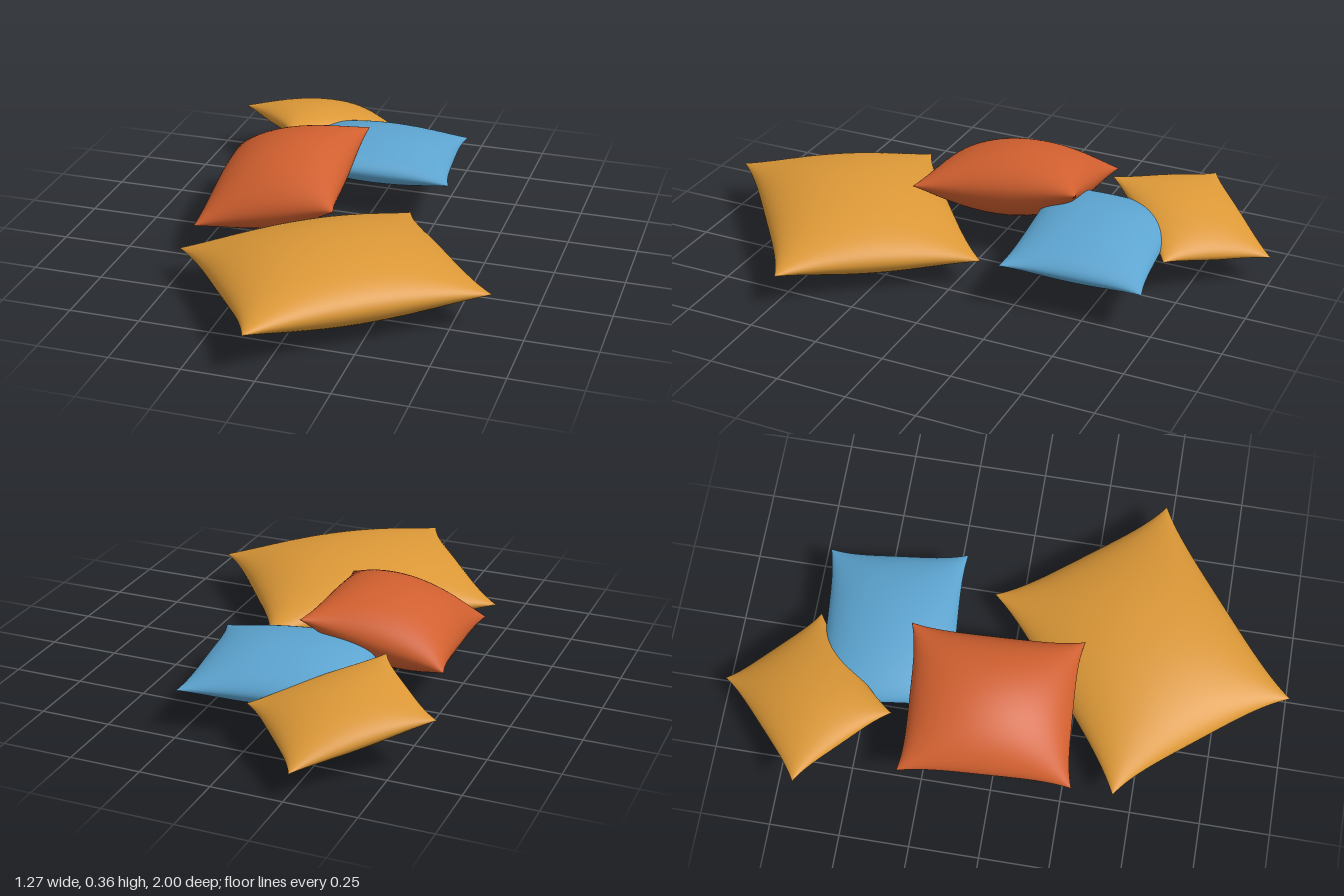
import * as THREE from 'three';
import { mergeGeometries, mergeVertices } from 'three/addons/utils/BufferGeometryUtils.js';

const SEGMENTS = 40;

// Stuffed cushion spanned by four corners (back-left, back-right, front-right, front-left as seen from above)
function cushionGeometry(corners, halfThickness) {
  const [a, b, c, d] = corners.map(p => new THREE.Vector3(...p));
  const normal = d.clone().sub(a).add(c).sub(b)
    .cross(b.clone().sub(a).add(c).sub(d)).normalize();

  const shell = side => {
    const g = new THREE.PlaneGeometry(2, 2, SEGMENTS, SEGMENTS).rotateX(-side * Math.PI / 2);
    g.deleteAttribute('uv');
    g.deleteAttribute('normal');
    const pos = g.attributes.position;
    for (let i = 0; i < pos.count; i++) {
      // denser rows towards the seam keep it round
      const u = Math.sin(pos.getX(i) * Math.PI / 2);
      const v = Math.sin(pos.getZ(i) * Math.PI / 2);
      const puff = Math.max(0, (1 - u * u) * (1 - v * v));
      // the sides are drawn in between the corner ears
      const s = (u * (1 - 0.065 * (1 - v ** 4)) + 1) / 2;
      const t = (v * (1 - 0.065 * (1 - u ** 4)) + 1) / 2;
      const p = a.clone().lerp(b, s).lerp(d.clone().lerp(c, s), t);
      p.addScaledVector(normal, side * halfThickness * Math.pow(puff, 0.53));
      pos.setXYZ(i, p.x, p.y, p.z);
    }
    return g;
  };

  const geometry = mergeVertices(mergeGeometries([shell(1), shell(-1)]), 1e-5);
  geometry.computeVertexNormals();
  return geometry;
}

export function createModel() {
  const group = new THREE.Group();
  group.name = 'cushions';

  const orange = new THREE.MeshStandardMaterial({ color: 0xdc9837 });
  const red = new THREE.MeshStandardMaterial({ color: 0xd05f2f });
  const blue = new THREE.MeshStandardMaterial({ color: 0x5ca4d0 });

  const addCushion = (name, material, halfThickness, corners) => {
    const mesh = new THREE.Mesh(cushionGeometry(corners, halfThickness), material);
    mesh.name = name;
    group.add(mesh);
  };

  // Large cushion lying flat at the front
  addCushion('largeFrontCushion', orange, 0.13, [
    [-0.48, 0.11, 0.43], [0.2, 0.1, -0.1], [0.635, 0.125, 0.47], [-0.04, 0.145, 1.0],
  ]);
  // Red cushion leaning on the large one
  addCushion('redCushion', red, 0.135, [
    [-0.535, 0.18, -0.325], [-0.03, 0.3, -0.355], [0.02, 0.235, 0.255], [-0.485, 0.125, 0.285],
  ]);
  // Blue cushion under the red and the small one
  addCushion('blueCushion', blue, 0.087, [
    [-0.34, 0.16, -0.66], [0.26, 0.145, -0.715], [0.31, 0.165, -0.215], [-0.29, 0.195, -0.165],
  ]);
  // Small cushion resting on the blue one at the back
  addCushion('smallBackCushion', orange, 0.072, [
    [-0.635, 0.19, -0.67], [-0.27, 0.09, -1.0], [0.01, 0.14, -0.7], [-0.35, 0.24, -0.37],
  ]);

  return group;
}
